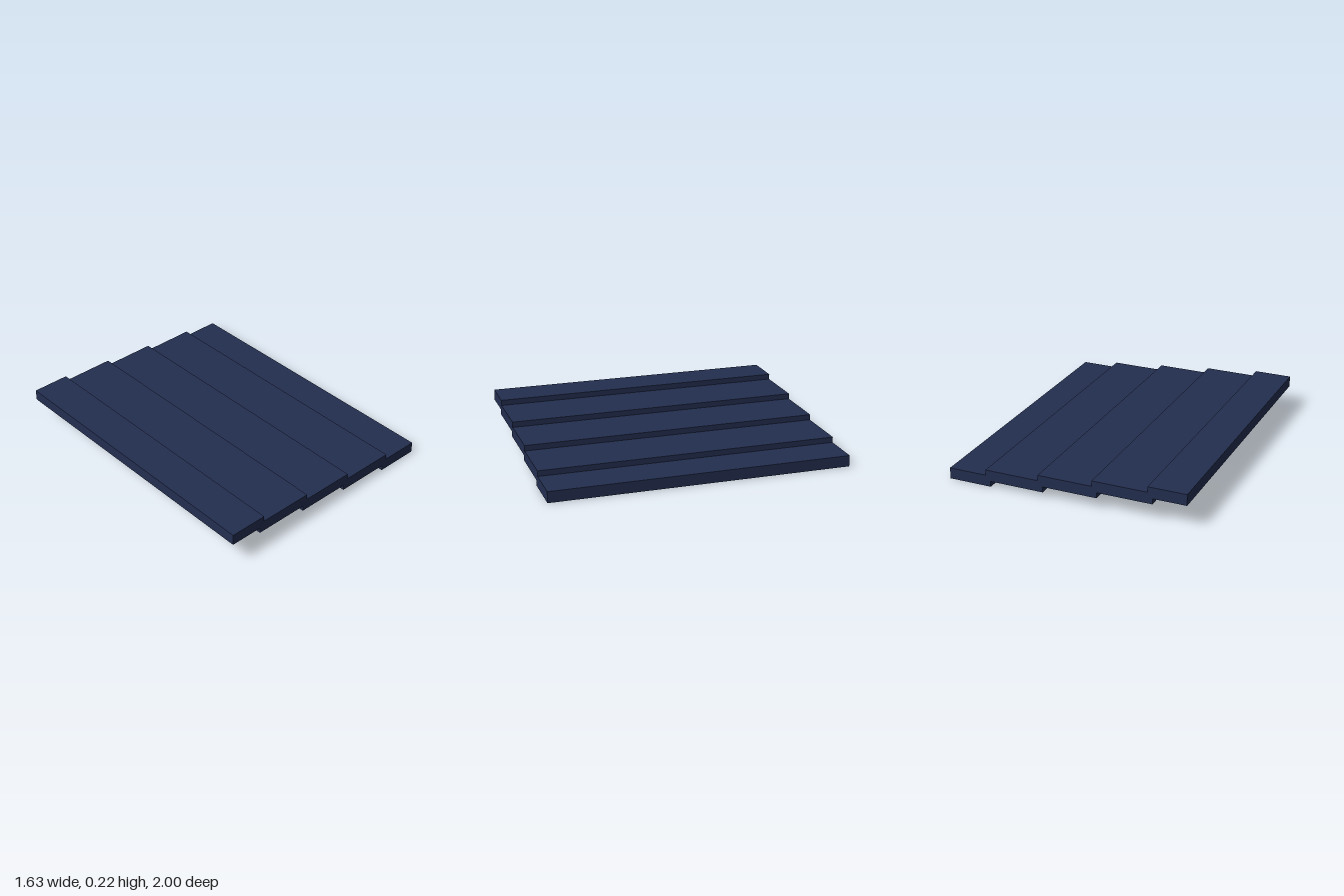
import * as THREE from 'three';

export function createModel() {
  const group = new THREE.Group();
  group.name = 'steppedPanel';
  const navy = new THREE.MeshStandardMaterial({ color: 0x232e4f });
  navy.name = 'navy';

  const halfWidth = 0.813, depth = 2;
  const rise = 0.0373, thickness = 0.0746; // each step drops half a board thickness
  const pitch = 0.37, steps = 5;
  const topEdge = -0.558, bottomEdge = -0.591; // x of the first drop, above and below

  // Stepped cross-section: along the underside left to right, back over the top
  const points = [];
  for (let i = 0; i < steps; i++) {
    const y = (steps - 1 - i) * rise;
    const x0 = i === 0 ? -halfWidth : bottomEdge + (i - 1) * pitch;
    const x1 = i === steps - 1 ? halfWidth : bottomEdge + i * pitch;
    points.push(new THREE.Vector2(x0, y), new THREE.Vector2(x1, y));
  }
  for (let i = steps - 1; i >= 0; i--) {
    const y = (steps - 1 - i) * rise + thickness;
    const x0 = i === 0 ? -halfWidth : topEdge + (i - 1) * pitch;
    const x1 = i === steps - 1 ? halfWidth : topEdge + i * pitch;
    points.push(new THREE.Vector2(x1, y), new THREE.Vector2(x0, y));
  }

  // Overlapping boards as one solid running front to back
  const geometry = new THREE.ExtrudeGeometry(new THREE.Shape(points), { depth, bevelEnabled: false });
  geometry.translate(0, 0, -depth / 2);
  const boards = new THREE.Mesh(geometry, navy);
  boards.name = 'steppedBoards';
  group.add(boards);
  return group;
}
